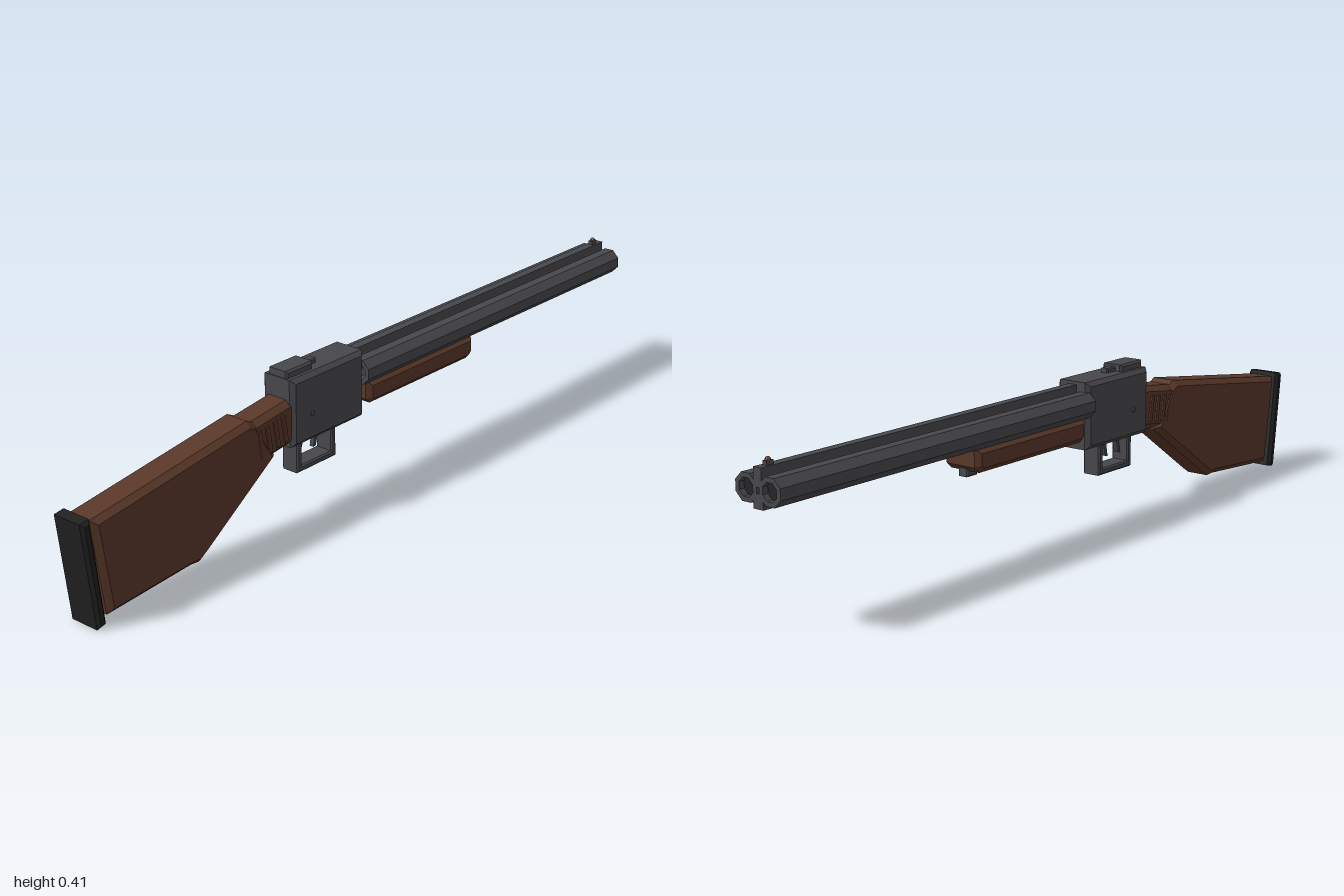
import * as THREE from 'three';

const mat = (name, color) => {
  const m = new THREE.MeshStandardMaterial({ color, flatShading: true });
  m.name = name;
  return m;
};

export function createModel() {
  const root = new THREE.Group();
  root.name = 'doubleBarrel';
  const metal = mat('gunmetal', 0x48474c);
  const wood = mat('walnut', 0x5a3829);
  const rubber = mat('black rubber', 0x202020);
  const bore = mat('dark bore', 0x252527);
  const copper = mat('copper', 0x7a4a2c);

  const add = (name, geo, material, parent = root) => {
    const mesh = new THREE.Mesh(geo, material);
    mesh.name = name;
    parent.add(mesh);
    return mesh;
  };
  const toShape = (pts) => new THREE.Shape(pts.map(([a, b]) => new THREE.Vector2(a, b)));

  // Side outline in (z, y), extruded across x with chamfered edges
  const slab = (pts, half, bevel, hole) => {
    const shape = toShape(pts);
    if (hole) shape.holes.push(new THREE.Path(hole.map(([a, b]) => new THREE.Vector2(a, b))));
    const depth = 2 * (half - bevel);
    const geo = new THREE.ExtrudeGeometry(shape, {
      depth, bevelEnabled: bevel > 0, bevelThickness: bevel, bevelSize: bevel,
      bevelOffset: -bevel, bevelSegments: 1,
    });
    return geo.translate(0, 0, -depth / 2).rotateY(-Math.PI / 2);
  };
  const rect = (z0, z1, y0, y1) => [[z0, y0], [z1, y0], [z1, y1], [z0, y1]];

  // Cross-section in (x, y), extruded along z from z0 to z1
  const bar = (pts, z0, z1, hole) => {
    const shape = toShape(pts);
    if (hole) shape.holes.push(toShape(hole));
    return new THREE.ExtrudeGeometry(shape, { depth: z1 - z0, bevelEnabled: false }).translate(0, 0, z0);
  };
  const octagon = (cx, cy, apothem) => Array.from({ length: 8 }, (_, i) => {
    const a = (i + 0.5) * Math.PI / 4, r = apothem / Math.cos(Math.PI / 8);
    return [cx + r * Math.cos(a), cy + r * Math.sin(a)];
  });
  const box = (w, h, d, x, y, z) => new THREE.BoxGeometry(w, h, d).translate(x, y, z);

  // Butt stock, wrist and recoil pad
  add('stock', slab([[0.93, 0.02], [0.965, 0.264], [0.475, 0.332], [0.45, 0.32],
    [0.385, 0.215], [0.62, 0.052], [0.645, 0.036], [0.67, 0.038]], 0.045, 0.014), wood);
  add('wrist', slab([[0.32, 0.225], [0.385, 0.217], [0.5, 0.2], [0.5, 0.318], [0.32, 0.341]],
    0.042, 0.015), wood);
  add('recoilPad', slab([[0.968, 0], [0.942, 0.006], [0.972, 0.274], [1, 0.27]], 0.048, 0.008), rubber);

  // Slanted grip ridges on both sides of the wrist
  for (const side of [-1, 1]) {
    for (let i = 0; i < 4; i++) {
      const ridge = add('gripRidge', new THREE.BoxGeometry(0.008, 0.07, 0.012), wood);
      ridge.position.set(side * 0.042, 0.277 - i * 0.004, 0.36 + i * 0.027);
      ridge.rotation.x = 0.15;
    }
  }

  // Receiver with side pins
  add('receiver', slab(rect(0.078, 0.337, 0.217, 0.391), 0.05, 0.011), metal);
  for (const side of [-1, 1]) {
    const pin = add('sidePin', new THREE.CylinderGeometry(0.007, 0.007, 0.006, 8), metal);
    pin.rotation.z = Math.PI / 2;
    pin.position.set(side * 0.05, 0.29, 0.27);
  }

  // Top lever
  add('leverBase', slab(rect(0.243, 0.335, 0.385, 0.409), 0.03, 0.005), metal);
  add('leverThumb', slab(rect(0.21, 0.25, 0.385, 0.403), 0.011, 0.003), metal);

  // Trigger guard and two triggers
  add('triggerGuard', slab(rect(0.157, 0.297, 0.132, 0.222), 0.026, 0.004,
    [[0.174, 0.149], [0.174, 0.211], [0.28, 0.211], [0.28, 0.149]]), metal);
  for (const z of [0.262, 0.208]) {
    add('trigger', slab([[z + 0.002, 0.172], [z + 0.011, 0.17], [z + 0.002, 0.22], [z - 0.012, 0.22]],
      0.006, 0), metal);
  }

  // Barrels with hollow muzzles
  for (const side of [-1, 1]) {
    const cx = side * 0.036, cy = 0.334;
    add('barrel', bar(octagon(cx, cy, 0.032), -1, 0.085, octagon(cx, cy, 0.021)), metal);
    add('boreFloor', bar(octagon(cx, cy, 0.022), -0.985, -0.98), bore);
  }

  // Ribs between the barrels, and the front sight
  add('topRib', box(0.024, 0.044, 1.08, 0, 0.361, -0.46), metal);
  add('bottomRib', box(0.03, 0.034, 1.08, 0, 0.308, -0.46), metal);
  add('sightPost', box(0.012, 0.012, 0.02, 0, 0.387, -0.968), metal);
  add('sightBead', new THREE.SphereGeometry(0.007, 8, 6).translate(0, 0.394, -0.968), copper);

  // Fore-end and its latch
  add('foreEnd', slab([[0.066, 0.256], [0.052, 0.243], [-0.336, 0.243], [-0.353, 0.258],
    [-0.353, 0.305], [0.066, 0.305]], 0.056, 0.013), wood);
  add('foreEndLatch', slab(rect(-0.345, -0.308, 0.229, 0.25), 0.016, 0.004), metal);

  return root;
}
